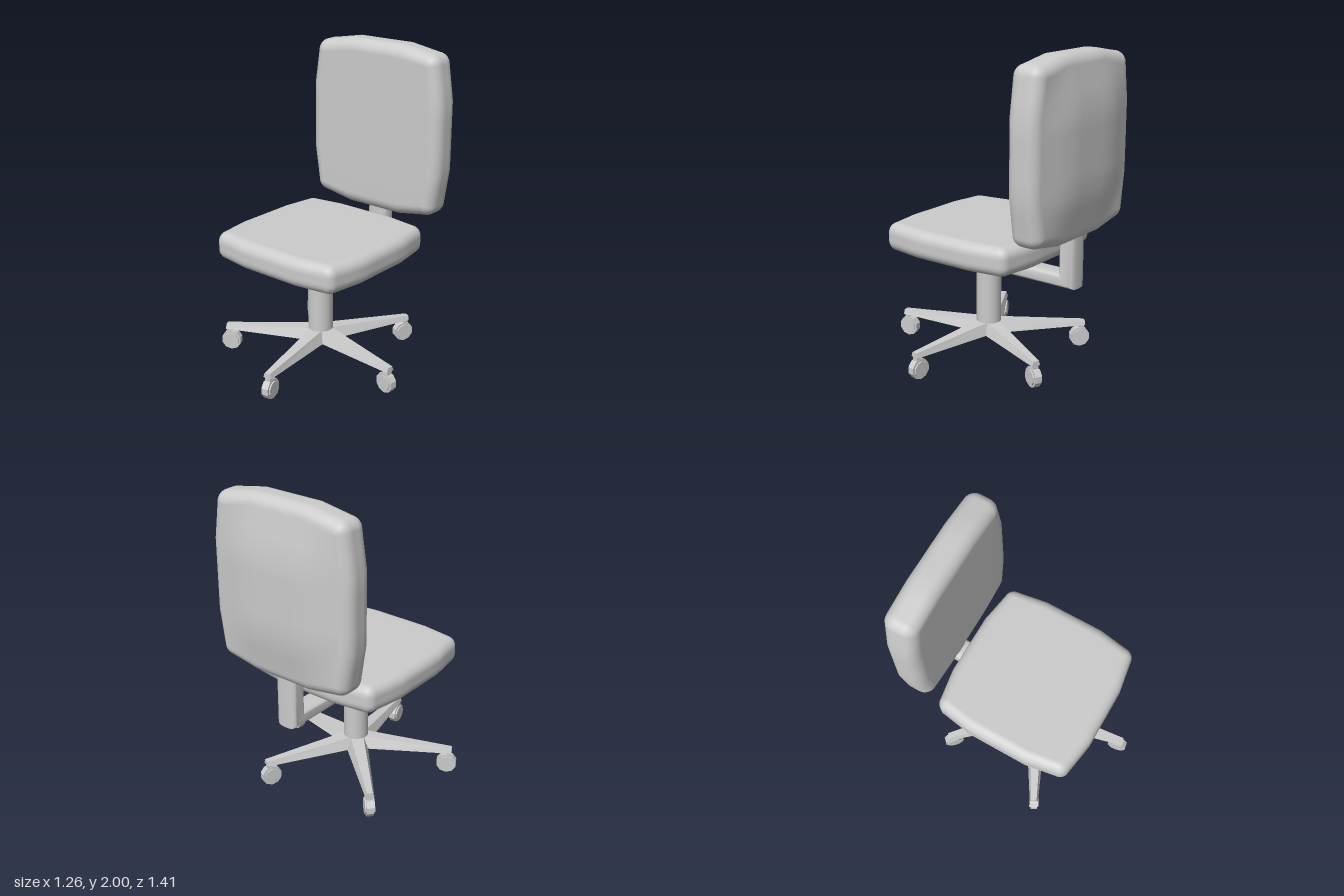
import * as THREE from 'three';
import { mergeVertices, toCreasedNormals } from 'three/addons/utils/BufferGeometryUtils.js';

const grey = new THREE.MeshStandardMaterial({ color: 0xcccccc });
const greyFlat = new THREE.MeshStandardMaterial({ color: 0xcccccc, flatShading: true });

function add(parent, name, geometry, material = grey) {
  const mesh = new THREE.Mesh(geometry, material);
  mesh.name = name;
  parent.add(mesh);
  return mesh;
}

// Moves every vertex of a geometry by a rule
function reshape(geometry, rule) {
  const pos = geometry.attributes.position;
  const p = new THREE.Vector3();
  for (let i = 0; i < pos.count; i++) {
    rule(p.fromBufferAttribute(pos, i));
    pos.setXYZ(i, p.x, p.y, p.z);
  }
  geometry.computeVertexNormals();
  return geometry;
}

// Soft cushion facing +z: rounded edges, bowed outline, back swelling by `swell`
function cushion(hx, hy, hz, radius, bow, swell) {
  const half = new THREE.Vector3(hx - bow, hy - bow, hz);
  const inner = half.clone().subScalar(radius);
  const outer = new THREE.Vector3();
  const rise = (v, h) => THREE.MathUtils.clamp(2 * (1 - Math.abs(v) / h), 0, 1);
  let geometry = new THREE.BoxGeometry(2, 2, 2, 16, 16, 16);
  geometry.deleteAttribute('uv');
  geometry.deleteAttribute('normal');
  geometry = mergeVertices(geometry);
  return reshape(geometry, (p) => {
    // middle half of each axis is flat, the rest wraps round the edge
    for (const a of ['x', 'y', 'z']) {
      const t = Math.abs(p[a]);
      const s = Math.sign(p[a]);
      outer[a] = t > 0.5 ? s * radius * Math.tan((t - 0.5) * Math.PI / 2) : 0;
      p[a] = s * Math.min(1, 2 * t) * inner[a];
    }
    p.add(outer.normalize().multiplyScalar(radius));
    const fx = rise(p.x, inner.x);
    const fy = rise(p.y, inner.y);
    p.x += bow * fy * p.x / half.x;
    p.y += bow * fx * p.y / half.y;
    if (p.z < 0) p.z += swell * fx * fy * p.z / hz;
  });
}

// L-shaped bar: a rounded section swept along the underside, mitred, then up
function supportArm() {
  const stations = [ // outer z, y, then inner z, y
    [0.05, 0.58, 0.05, 0.67],
    [-0.63, 0.58, -0.52, 0.67],
    [-0.63, 1.0, -0.52, 1.0],
  ];
  const square = (v) => Math.sign(v) * Math.abs(v) ** 0.6;
  const geometry = reshape(new THREE.CylinderGeometry(1, 1, 2, 32, 2), (p) => {
    const [oz, oy, iz, iy] = stations[Math.round(p.y) + 1];
    const t = (square(p.z) + 1) / 2;
    p.set(-0.03 + 0.075 * square(p.x), oy + (iy - oy) * t, oz + (iz - oz) * t);
  });
  return toCreasedNormals(geometry, 0.7);
}

// Tapered base leg running out along +x
function legGeometry() {
  return reshape(new THREE.BoxGeometry(2, 2, 2), (p) => {
    const tip = p.x > 0;
    const top = p.y > 0;
    const width = tip ? (top ? 0.018 : 0.028) : (top ? 0.045 : 0.075);
    p.set(tip ? 0.635 : 0, top ? (tip ? 0.175 : 0.222) : 0.145, p.z * width);
  });
}

export function createModel() {
  const chair = new THREE.Group();
  chair.name = 'officeChair';

  const seat = add(chair, 'seat', cushion(0.503, 0.498, 0.0915, 0.065, 0.033, 0.012));
  seat.rotation.x = -Math.PI / 2;
  seat.position.set(-0.032, 0.8035, 0.047);

  const backrest = add(chair, 'backrest', cushion(0.51, 0.555, 0.105, 0.075, 0.035, 0.045));
  backrest.position.set(-0.024, 1.445, -0.555);

  add(chair, 'backrestArm', supportArm());

  const column = add(chair, 'column', new THREE.CylinderGeometry(0.08, 0.08, 0.57, 24));
  column.position.set(-0.03, 0.435, 0.05);

  // Five-legged base with casters
  const base = new THREE.Group();
  base.name = 'base';
  base.position.set(-0.03, 0, 0.05);
  chair.add(base);
  const legShape = legGeometry();
  const wheelShape = new THREE.CylinderGeometry(0.066, 0.066, 0.044, 10).rotateX(Math.PI / 2);
  const rimShape = new THREE.CylinderGeometry(0.052, 0.052, 0.062, 10).rotateX(Math.PI / 2);
  const stemShape = new THREE.BoxGeometry(0.032, 0.06, 0.036);
  for (let i = 0; i < 5; i++) {
    const arm = new THREE.Group();
    arm.name = 'baseArm' + (i + 1);
    arm.rotation.y = -THREE.MathUtils.degToRad(8 + 72 * i);
    base.add(arm);
    add(arm, 'leg', legShape, greyFlat);
    add(arm, 'casterStem', stemShape, greyFlat).position.set(0.615, 0.122, 0);
    add(arm, 'casterWheel', wheelShape, greyFlat).position.set(0.603, 0.064, 0);
    add(arm, 'casterHub', rimShape, greyFlat).position.set(0.603, 0.064, 0);
  }
  return chair;
}
